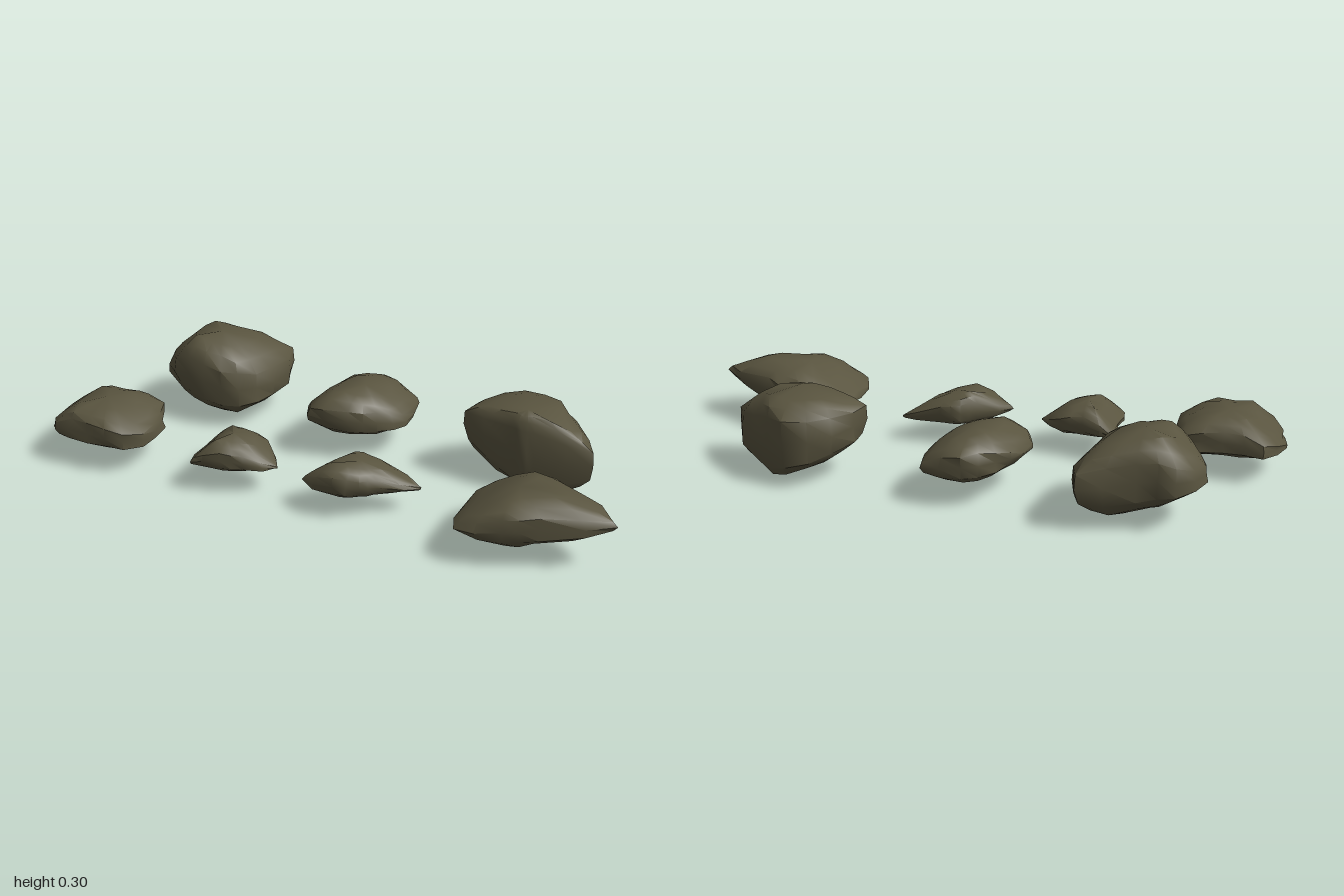
import * as THREE from 'three';
import { toCreasedNormals } from 'three/addons/utils/BufferGeometryUtils.js';

// Each rock: plan centre, eight plan radii (from +x towards +z),
// and crown and base heights at four even stations along x.
const ROCKS = [
  { name: 'backLeftRock', centre: [-.6, -.22], radii: [.2, .18, .15, .18, .21, .18, .14, .26],
    top: [.22, .325, .305, .25], base: [.13, .07, .03, .06] },
  { name: 'backMiddleRock', centre: [-.04, -.19], radii: [.16, .12, .14, .22, .16, .14, .17, .2],
    top: [.19, .25, .23, .16], base: [.13, .08, .08, .1] },
  { name: 'backRightRock', centre: [.56, -.14], radii: [.23, .06, .05, .06, .22, .22, .21, .19], power: 4,
    top: [.28, .3, .3, .22], base: [.12, .05, 0, .06] },
  { name: 'frontRightRock', centre: [.67, .22], radii: [.32, .15, .16, .22, .18, .2, .17, .18],
    top: [.14, .23, .245, .19], base: [.1, .06, .08, .14] },
  { name: 'frontLeftRock', centre: [-.8, .22], radii: [.19, .19, .15, .19, .2, .19, .13, .19],
    top: [.13, .22, .22, .17], base: [.09, .08, .075, .08] },
  { name: 'smallFrontRock', centre: [-.32, .23], radii: [.16, .1, .1, .15, .11, .16, .09, .12],
    top: [.12, .2, .18, .11], base: [.1, .08, .08, .09] },
  { name: 'slenderFrontRock', centre: [.13, .21], radii: [.2, .08, .08, .12, .19, .09, .09, .1], turn: -.35,
    top: [.13, .2, .17, .1], base: [.09, .07, .08, .08] },
];

function seeded(seed) {
  return () => {
    seed = (seed * 16807) % 2147483647;
    return (seed / 2147483647) * 2 - 1;
  };
}

// Height between even stations, for u from 0 to 1
function heightAt(stations, u) {
  const f = u * (stations.length - 1);
  const i = Math.min(Math.floor(f), stations.length - 2);
  return THREE.MathUtils.lerp(stations[i], stations[i + 1], f - i);
}

// Stacks shrunken copies of the plan outline between the base and the crown
function rockGeometry({ centre: [cx, cz], radii, top, base, turn = 0, power = 2.8 }, seed) {
  const random = seeded(seed);
  const corners = radii.map((r, i) => {
    const angle = turn + (i / radii.length) * Math.PI * 2;
    return new THREE.Vector3(cx + r * Math.cos(angle), 0, cz + r * Math.sin(angle));
  });
  const n = radii.length * 2, levels = 4;
  const plan = new THREE.CatmullRomCurve3(corners, true).getPoints(n).slice(0, n);
  const minX = Math.min(...plan.map((p) => p.x));
  const maxX = Math.max(...plan.map((p) => p.x));

  const positions = [], index = [];
  const add = (x, z, s) => {
    const u = THREE.MathUtils.clamp((x - minX) / (maxX - minX), 0, 1);
    const hi = heightAt(top, u), lo = heightAt(base, u);
    positions.push(x, (hi + lo) / 2 + (s * (hi - lo)) / 2, z);
  };

  for (let k = -levels + 1; k < levels; k++) {
    const t = (k / levels) * Math.PI / 2;
    const r = Math.cos(t) ** (2 / power);
    const s = Math.sign(t) * Math.abs(Math.sin(t)) ** (2 / power);
    for (const p of plan) {
      const f = Math.min(1, r * (1 + 0.07 * random()));
      add(cx + (p.x - cx) * f, cz + (p.z - cz) * f, s * (1 - 0.06 * Math.abs(random())));
    }
  }
  const rings = 2 * levels - 1, bottom = rings * n, crown = bottom + 1;
  add(cx, cz, -1);
  add(cx, cz, 1);

  const last = (rings - 1) * n;
  for (let i = 0; i < n; i++) {
    const j = (i + 1) % n;
    for (let k = 0; k < rings - 1; k++) {
      const a = k * n + i, b = k * n + j, c = b + n, d = a + n;
      index.push(a, c, b, a, d, c);
    }
    index.push(bottom, i, j, crown, last + j, last + i);
  }
  const geometry = new THREE.BufferGeometry();
  geometry.setAttribute('position', new THREE.Float32BufferAttribute(positions, 3));
  geometry.setIndex(index);
  return toCreasedNormals(geometry, 0.8);
}

export function createModel() {
  const group = new THREE.Group();
  group.name = 'rockSet';
  const stone = new THREE.MeshStandardMaterial({ color: 0x59543f });
  stone.name = 'olive stone';
  ROCKS.forEach((rock, i) => {
    const mesh = new THREE.Mesh(rockGeometry(rock, 101 + i * 977), stone);
    mesh.name = rock.name;
    group.add(mesh);
  });
  return group;
}
